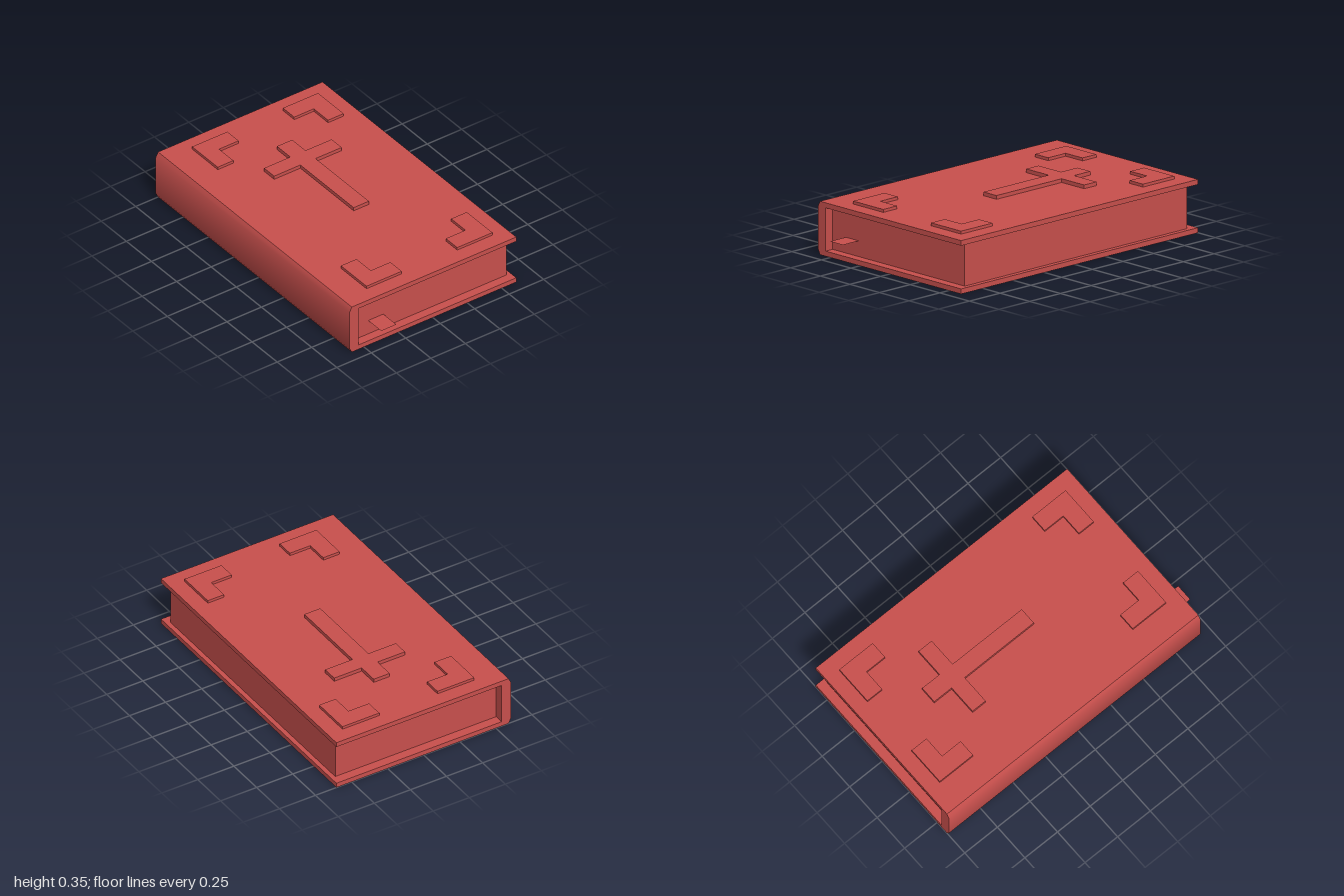
import * as THREE from 'three';
import { toCreasedNormals } from 'three/addons/utils/BufferGeometryUtils.js';

const red = new THREE.MeshStandardMaterial({ color: 0xc9504d });
red.name = 'red';
const redCloth = red.clone();
redCloth.name = 'red ribbon';
redCloth.side = THREE.DoubleSide;

const TOP = 0.325; // upper face of the cover

function shapeOf(points) {
  return new THREE.Shape(points.map(([x, y]) => new THREE.Vector2(x, y)));
}

function addMesh(group, name, geometry, material = red) {
  const mesh = new THREE.Mesh(geometry, material);
  mesh.name = name;
  group.add(mesh);
  return mesh;
}

// Raised plate on the cover, outlined by [x, z] points
function plate(points, height) {
  const shape = shapeOf(points.map(([x, z]) => [x, -z]));
  const g = new THREE.ExtrudeGeometry(shape, { depth: height, bevelEnabled: false });
  return g.rotateX(-Math.PI / 2).translate(0, TOP, 0);
}

export function createModel() {
  const book = new THREE.Group();
  book.name = 'book';

  // Cover: C-shaped profile with a chamfered spine, run along z
  const profile = shapeOf([
    [-0.588, 0], [0.605, 0], [0.605, 0.031], [-0.54, 0.031], [-0.54, 0.294],
    [0.605, 0.294], [0.605, TOP], [-0.588, TOP], [-0.605, 0.292], [-0.605, 0.033],
  ]);
  const cover = new THREE.ExtrudeGeometry(profile, { depth: 1.927, bevelEnabled: false });
  cover.translate(0, 0, -1);
  addMesh(book, 'cover', toCreasedNormals(cover, 0.6));

  // Page block, set back from the cover edges
  const pages = new THREE.BoxGeometry(1.115, 0.263, 1.81);
  addMesh(book, 'pages', pages.translate(0.0175, 0.1625, -0.035));

  // Bookmark ribbon sticking out at the front
  const ribbon = new THREE.PlaneGeometry(0.11, 0.16).rotateX(-Math.PI / 2);
  addMesh(book, 'ribbon', ribbon.translate(-0.373, 0.127, 0.92), redCloth);

  // Cross
  addMesh(book, 'cross', plate([
    [-0.01, -0.61], [0.1, -0.61], [0.1, -0.477], [0.29, -0.477], [0.29, -0.377], [0.1, -0.377],
    [0.1, 0.153], [-0.01, 0.153], [-0.01, -0.377], [-0.2, -0.377], [-0.2, -0.477], [-0.01, -0.477],
  ], 0.023));

  // Four L-shaped corner plates; sx and sz point toward the page corner
  for (const sx of [-1, 1]) {
    for (const sz of [-1, 1]) {
      const cx = sx < 0 ? -0.41 : 0.503;
      const cz = sz < 0 ? -0.905 : 0.829;
      const outline = [[0, 0], [0.255, 0], [0.255, 0.113], [0.113, 0.113], [0.113, 0.255], [0, 0.255]]
        .map(([x, z]) => [cx - sx * x, cz - sz * z]);
      addMesh(book, 'cornerPlate', plate(outline, 0.018));
    }
  }
  return book;
}
